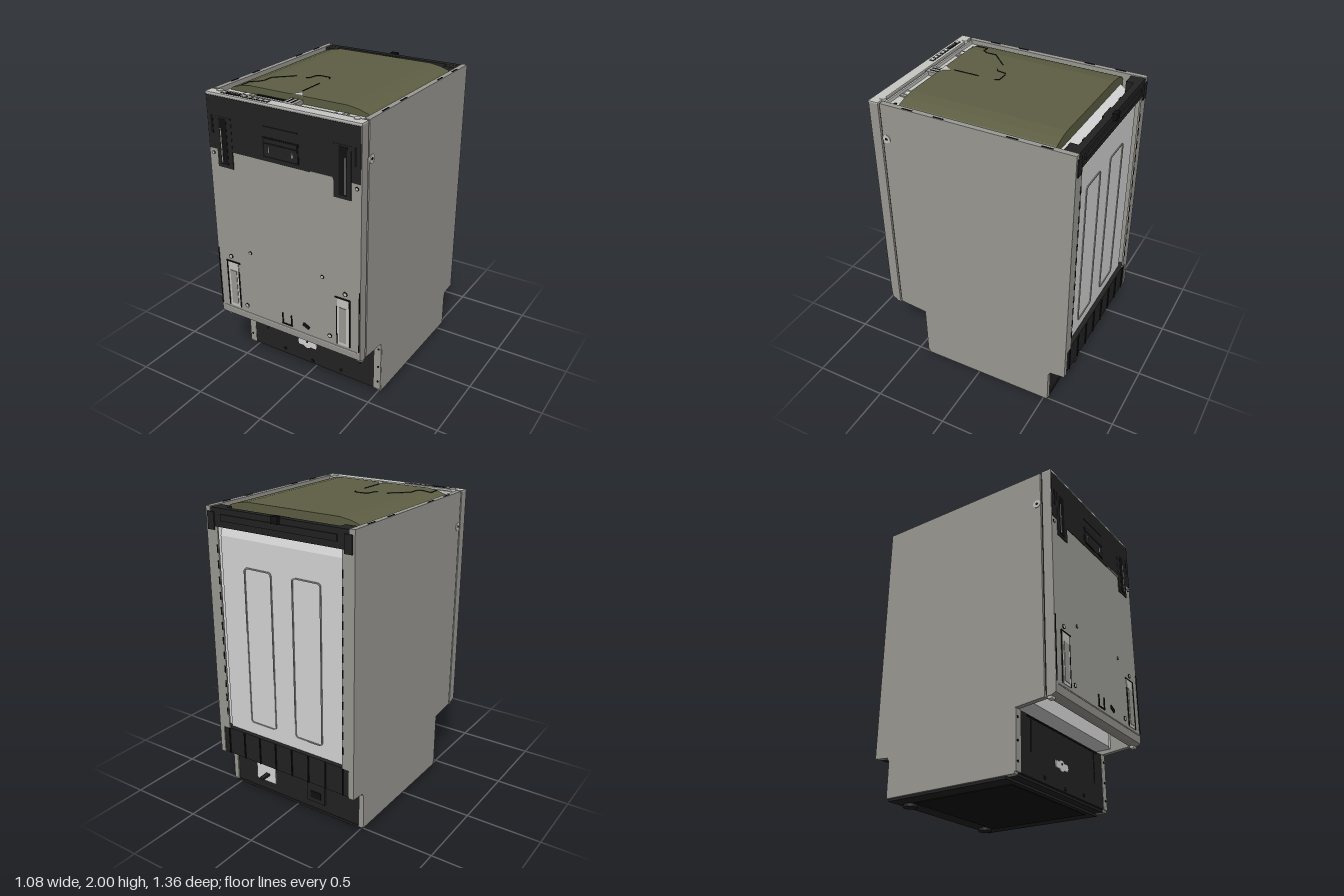
import * as THREE from 'three';

export function createModel() {
  const model = new THREE.Group();
  const mat = (name, color) => {
    const m = new THREE.MeshStandardMaterial({ color });
    m.name = name;
    return m;
  };
  const steel = mat('steel', 0x9b9a94);
  const light = mat('light steel', 0xc6c6c2);
  const white = mat('white plastic', 0xd6d6d6);
  const black = mat('black plastic', 0x222223);
  const dark = mat('dark gap', 0x111111);
  const olive = mat('olive insulation', 0x5d5e43);

  const add = (name, geo, m) => {
    const mesh = new THREE.Mesh(geo, m);
    mesh.name = name;
    model.add(mesh);
    return mesh;
  };
  // box given by its min and max on each axis
  const box = (name, m, x0, x1, y0, y1, z0, z1) => {
    const mesh = add(name, new THREE.BoxGeometry(x1 - x0, y1 - y0, z1 - z0), m);
    mesh.position.set((x0 + x1) / 2, (y0 + y1) / 2, (z0 + z1) / 2);
    return mesh;
  };
  // the same box on both sides of x = 0
  const pair = (name, m, x0, x1, ...yz) => {
    box(name, m, x0, x1, ...yz);
    box(name, m, -x1, -x0, ...yz);
  };
  const poly = (pts) => new THREE.Shape(pts.map((p) => new THREE.Vector2(...p)));
  const extrude = (shape, depth) => new THREE.ExtrudeGeometry(shape, { depth, bevelEnabled: false });
  // [z, y] outline extruded along x
  const prismX = (name, m, pts, x0, x1) => {
    const g = extrude(poly(pts.map(([z, y]) => [-z, y])), x1 - x0);
    add(name, g.rotateY(Math.PI / 2).translate(x0, 0, 0), m);
  };
  const disc = (name, m, r, t, x, y, z, axis = 'z') => {
    const g = new THREE.CylinderGeometry(r, r, t, 20);
    if (axis === 'z') g.rotateX(Math.PI / 2);
    if (axis === 'x') g.rotateZ(Math.PI / 2);
    add(name, g, m).position.set(x, y, z);
  };
  const roundRect = (x0, x1, y0, y1, r) => {
    const s = new THREE.Shape();
    s.moveTo(x0 + r, y0);
    s.absarc(x1 - r, y0 + r, r, -Math.PI / 2, 0);
    s.absarc(x1 - r, y1 - r, r, 0, Math.PI / 2);
    s.absarc(x0 + r, y1 - r, r, Math.PI / 2, Math.PI);
    s.absarc(x0 + r, y0 + r, r, Math.PI, Math.PI * 1.5);
    return s;
  };

  // side panels with toe notch and rear step
  const side = [[0.595, 1.98], [0.595, 0.44], [0.395, 0.42], [0.395, 0.035], [-0.54, 0.035],
    [-0.54, 0.27], [-0.555, 0.295], [-0.655, 0.305], [-0.655, 1.98]];
  prismX('sidePanel', steel, side, 0.5, 0.535);
  prismX('sidePanel', steel, side, -0.535, -0.5);
  pair('rearFlange', steel, 0.45, 0.5, 0.5, 1.86, -0.655, -0.645);
  pair('frontFlange', steel, 0.485, 0.534, 0.05, 0.42, 0.393, 0.404);
  for (const z of [-0.48, -0.27, 0.2, 0.41]) pair('topSlot', dark, 0.521, 0.529, 1.978, 1.983, z - 0.035, z + 0.035);
  for (let y = 0.6; y < 1.8; y += 0.1) pair('flangeSlot', dark, 0.453, 0.462, y, y + 0.05, -0.658, -0.654);
  for (const s of [-1, 1]) {
    disc('sideScrew', light, 0.027, 0.006, s * 0.536, 1.75, 0.57, 'x');
    disc('sideScrewCentre', dark, 0.009, 0.008, s * 0.537, 1.75, 0.57, 'x');
    for (const y of [0.11, 0.23, 0.37]) disc('flangeHole', dark, 0.008, 0.004, s * 0.515, y, 0.404);
  }
  // tub with sloping rear shoulder
  prismX('tub', white, [[0.48, 0.45], [0.48, 1.91], [-0.5, 1.93], [-0.6, 1.86], [-0.62, 1.8], [-0.62, 0.45]], -0.46, 0.46);
  box('tubSideFill', white, -0.5, 0.5, 0.45, 1.85, -0.6, 0.47);
  for (const s of [-1, 1]) {
    const rim = roundRect(s * 0.18 - 0.105, s * 0.18 + 0.105, 0.58, 1.63, 0.025);
    rim.holes.push(roundRect(s * 0.18 - 0.097, s * 0.18 + 0.097, 0.588, 1.622, 0.02));
    add('backEmboss', extrude(rim, 0.008), steel).position.z = -0.626;
    for (const x of [0.26, 0.28]) box('shoulderRib', dark, s * x - 0.004, s * x + 0.004, 1.87, 1.93, -0.61, -0.575);
  }
  // insulation mat arched over the tub, with seam lines
  const arch = [[0.495, 1.85], [0.492, 1.945], [0.47, 1.968], [0.41, 1.986], [0.34, 1.997]];
  const matShape = poly([...arch, ...arch.map(([x, y]) => [-x, y]).reverse()]);
  add('insulationMat', extrude(matShape, 1.01), olive).position.z = -0.51;
  const matY = (x) => 1.997 - Math.max(0, Math.abs(x) - 0.34) * 0.157;
  const seam = (pts) => pts.slice(1).forEach((b, i) => {
    const p = new THREE.Vector3(pts[i][0], matY(pts[i][0]), pts[i][1]);
    const q = new THREE.Vector3(b[0], matY(b[0]), b[1]);
    const line = add('matSeam', new THREE.BoxGeometry(0.006, 0.006, p.distanceTo(q) + 0.004), dark);
    line.position.copy(p).lerp(q, 0.5);
    line.lookAt(q);
  });
  seam([[-0.41, 0.49], [-0.41, 0.41], [-0.35, 0.4], [-0.33, 0.37], [-0.33, 0.3], [-0.22, 0.19]]);
  seam([[-0.15, 0.19], [-0.13, 0.18], [-0.12, 0.12], [-0.1, 0.11], [-0.03, 0.11], [-0.015, 0.14]]);
  seam([[-0.015, 0.25], [-0.015, 0.42]]);

  // front cross member and latch
  box('frontCrossMember', light, -0.5, 0.5, 1.9, 1.95, 0.48, 0.592);
  box('frontCrossLip', light, -0.5, 0.5, 1.95, 1.972, 0.58, 0.592);
  box('crossShadow', dark, -0.28, -0.03, 1.95, 1.956, 0.5, 0.515);
  for (const s of [-1, 1]) {
    box('crossBracket', steel, s * 0.32 - 0.04, s * 0.32 + 0.04, 1.95, 1.958, 0.515, 0.575);
    box('bracketCentre', white, s * 0.32 - 0.02, s * 0.32 + 0.02, 1.958, 1.964, 0.53, 0.56);
    disc('crossHole', dark, 0.009, 0.006, s * 0.45, 1.95, 0.545, 'y');
    disc('hingePin', light, 0.02, 0.035, s * 0.47, 1.966, 0.615, 'y');
  }
  box('latchBody', steel, -0.04, 0.04, 1.94, 1.975, 0.5, 0.6);
  pair('latchSlot', dark, 0.012, 0.018, 1.97, 1.978, 0.51, 0.58);
  const tip = extrude(poly([[-0.04, -0.5], [0.04, -0.5], [0, -0.44]]), 0.012).rotateX(-Math.PI / 2);
  add('latchTip', tip, light).position.y = 1.988;

  // door
  box('doorGap', dark, -0.52, 0.52, 0.46, 1.94, 0.59, 0.612);
  prismX('door', steel, [[0.608, 1.972], [0.608, 0.44], [0.64, 0.44], [0.668, 0.455], [0.672, 0.5], [0.672, 1.972]], -0.535, 0.535);
  box('doorTop', light, -0.535, 0.535, 1.97, 1.98, 0.608, 0.674);
  box('doorHem', light, -0.51, 0.51, 0.505, 0.512, 0.67, 0.677);
  pair('doorEdge', dark, 0.526, 0.531, 0.52, 0.94, 0.67, 0.677);
  pair('hingeFoot', light, 0.49, 0.53, 0.425, 0.47, 0.61, 0.64);
  box('displayWindow', dark, -0.39, -0.3, 1.978, 1.984, 0.627, 0.655);
  box('displayBars', olive, -0.38, -0.31, 1.98, 1.986, 0.638, 0.646);
  for (const x of [-0.415, -0.27, -0.23, -0.19, -0.15, -0.11]) {
    box('buttonRim', dark, x - 0.017, x + 0.017, 1.978, 1.983, 0.627, 0.657);
    box('button', white, x - 0.014, x + 0.014, 1.98, 1.986, 0.63, 0.654);
  }
  // control fascia, grip and upper mounting rails
  box('fascia', black, -0.53, 0.53, 1.63, 1.962, 0.666, 0.675);
  box('fasciaNotch', steel, 0.2, 0.35, 1.63, 1.638, 0.67, 0.677);
  box('gripFrame', dark, -0.125, 0.125, 1.655, 1.78, 0.67, 0.677);
  box('gripPanel', black, -0.115, 0.115, 1.665, 1.74, 0.672, 0.679);
  box('gripLip', black, -0.115, 0.115, 1.75, 1.772, 0.672, 0.68);
  box('gripTop', dark, -0.12, 0.12, 1.84, 1.845, 0.67, 0.677);
  pair('gripMark', white, 0.08, 0.085, 1.69, 1.72, 0.675, 0.681);
  pair('upperRail', black, 0.355, 0.47, 1.52, 1.84, 0.668, 0.677);
  pair('railSlot', dark, 0.39, 0.445, 1.54, 1.83, 0.672, 0.679);
  pair('railSlit', steel, 0.43, 0.437, 1.55, 1.77, 0.674, 0.681);
  pair('fasciaClip', dark, 0.49, 0.505, 1.73, 1.84, 0.67, 0.677);

  // lower mounting rails and door holes
  pair('lowerRail', light, 0.375, 0.455, 0.53, 0.86, 0.668, 0.676);
  pair('lowerRailFace', steel, 0.39, 0.44, 0.55, 0.8, 0.671, 0.679);
  pair('lowerRailCap', dark, 0.36, 0.468, 0.86, 0.868, 0.67, 0.678);
  pair('lowerRailEdge', dark, 0.37, 0.376, 0.53, 0.8, 0.67, 0.678);
  pair('lowerRailEdge', dark, 0.462, 0.467, 0.53, 0.86, 0.67, 0.678);
  for (const [x, y, r] of [[0.27, 0.97, 0.012], [0.43, 0.9, 0.016], [0.32, 0.565, 0.016], [0.505, 1.6, 0.012]]) {
    for (const s of [-1, 1]) {
      disc('doorHoleRim', dark, r, 0.006, s * x, y, 0.672);
      disc('doorHole', light, r * 0.65, 0.008, s * x, y, 0.672);
    }
  }
  pair('centreClip', dark, 0.03, 0.037, 0.535, 0.61, 0.67, 0.678);
  box('centreClipBar', dark, -0.04, 0.04, 0.53, 0.537, 0.67, 0.678);
  box('doorVent', dark, 0.12, 0.17, 0.56, 0.585, 0.67, 0.677).rotation.z = -0.4;

  // plinth
  box('base', black, -0.5, 0.5, 0.035, 0.43, -0.53, 0.385);
  box('baseTray', black, -0.52, 0.52, 0.02, 0.036, -0.535, 0.33);
  box('underside', dark, -0.42, 0.42, 0.015, 0.021, -0.42, 0.3);
  box('kickPlate', black, -0.49, 0.49, 0.05, 0.42, 0.38, 0.402);
  box('kickTopEdge', dark, -0.42, 0.42, 0.405, 0.412, 0.4, 0.406);
  pair('kickSeam', dark, 0.375, 0.38, 0.2, 0.4, 0.4, 0.405);
  for (const x of [-0.23, 0, 0.23]) disc('kickScrew', dark, 0.013, 0.006, x, x ? 0.085 : 0.07, 0.402);
  box('kickBadge', white, -0.11, 0.03, 0.18, 0.225, 0.4, 0.407);
  for (const [x, r] of [[-0.09, 0.024], [-0.04, 0.036], [0.015, 0.024]]) disc('kickBadgeLobe', white, r, 0.007, x, 0.203, 0.4045);
  disc('kickBadgeHole', dark, 0.008, 0.009, -0.04, 0.215, 0.405);
  for (const s of [-1, 1]) disc('foot', black, 0.045, 0.035, s * 0.39, 0.0175, -0.47, 'y');

  // rear base with ribbed upper part
  box('rearBase', black, -0.5, 0.5, 0.31, 0.5, -0.65, -0.5);
  prismX('rearBaseLip', black, [[-0.5, 0.25], [-0.5, 0.32], [-0.64, 0.32]], -0.5, 0.5);
  for (let i = 0; i < 8; i++) box('rearRib', dark, -0.459 + i * 0.13, -0.451 + i * 0.13, 0.31, 0.5, -0.657, -0.645);
  box('rearPatch', white, 0.17, 0.33, 0.1, 0.25, -0.537, -0.528);
  box('rearPlug', black, 0.22, 0.25, 0.15, 0.165, -0.61, -0.53);
  box('rearInlet', black, -0.24, -0.1, 0.09, 0.24, -0.545, -0.52);
  box('rearInletHole', dark, -0.21, -0.13, 0.12, 0.17, -0.55, -0.543);

  // rear top bar with clips
  box('rearBar', black, -0.5, 0.5, 1.86, 1.975, -0.652, -0.61);
  pair('rearBarEnd', black, 0.41, 0.497, 1.87, 1.974, -0.612, -0.56);
  box('rearBarStep', black, -0.42, 0.42, 1.9, 1.94, -0.66, -0.65);
  box('rearBarNub', dark, -0.025, 0.025, 1.94, 1.985, -0.674, -0.645);
  box('rearBarTab', black, -0.06, 0.06, 1.93, 1.973, -0.612, -0.598);
  pair('rearHook', black, 0.47, 0.52, 1.84, 1.95, -0.662, -0.653);

  return model;
}
